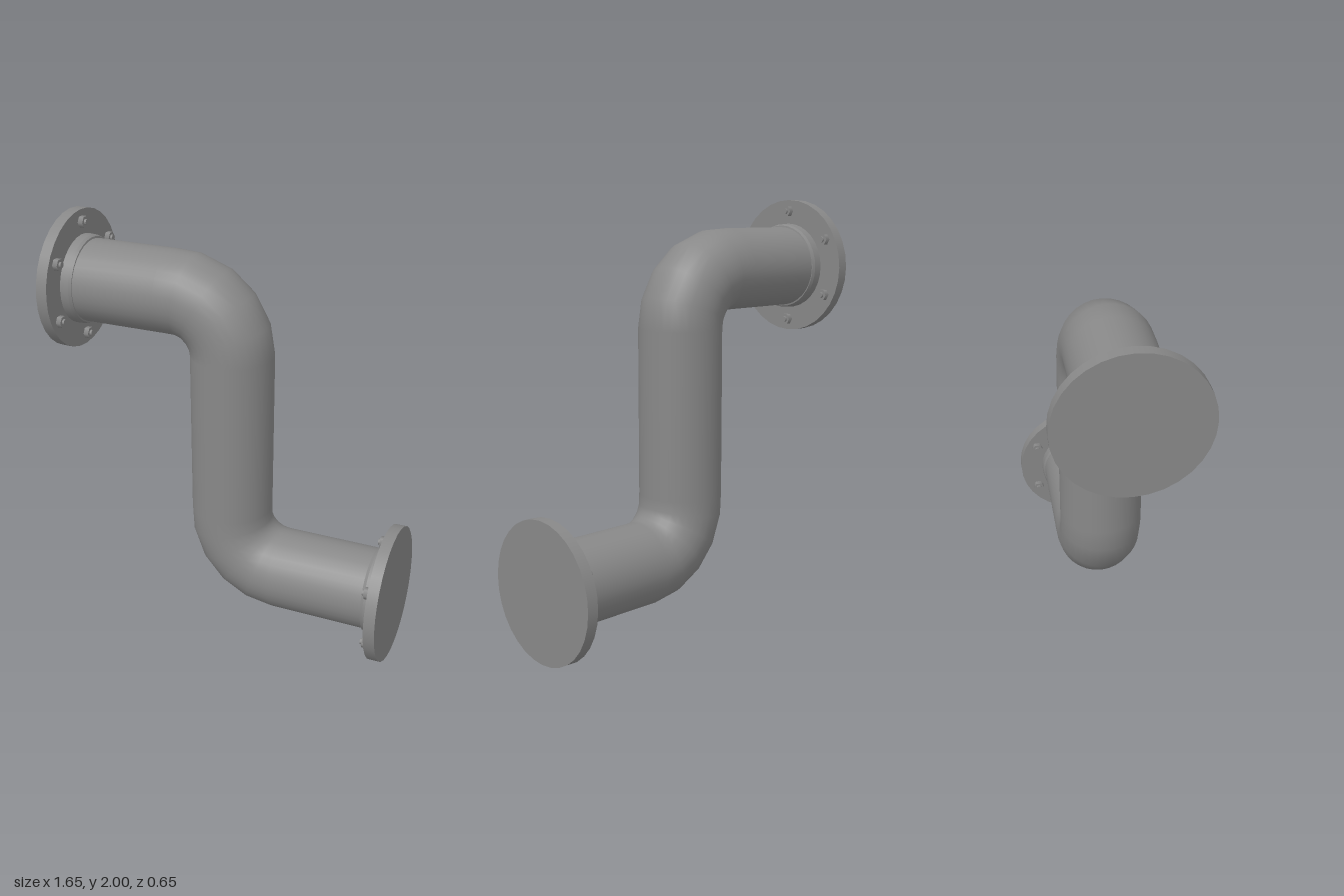
import * as THREE from 'three';

const material = new THREE.MeshStandardMaterial({ color: 0x888888 });
const PIPE_R = 0.193, PIPE_RZ = 0.198, BEND_R = 0.26;
const TOP_Y = 1.673, LOW_Y = 0.33, RISER_X = -0.009;

function addMesh(parent, name, geometry, y = 0) {
  const mesh = new THREE.Mesh(geometry, material);
  mesh.name = name;
  mesh.position.y = y;
  parent.add(mesh);
}

// Pipe stations: [x, y, heading], heading 0 = along +x, -PI/2 = straight down
function pipeStations() {
  const bend = [10, 31, 51, 71, 90].map(THREE.MathUtils.degToRad);
  const upper = bend.map(a => [
    RISER_X - BEND_R + BEND_R * Math.sin(a), TOP_Y - BEND_R + BEND_R * Math.cos(a), -a]);
  const lower = bend.map(a => [
    RISER_X + BEND_R - BEND_R * Math.cos(a), LOW_Y + BEND_R - BEND_R * Math.sin(a), a - Math.PI / 2]);
  return [
    [-0.79, TOP_Y, 0], [-0.31, TOP_Y, 0], ...upper,
    [RISER_X, 0.63, -Math.PI / 2], ...lower, [0.79, LOW_Y, 0]];
}

// Round cross-sections swept along the stations
function pipeGeometry(sides = 32) {
  const positions = [], normals = [], index = [];
  pipeStations().forEach(([x, y, heading], i, all) => {
    for (let j = 0; j < sides; j++) {
      const a = j / sides * Math.PI * 2;
      const nx = -Math.sin(heading) * Math.cos(a), ny = Math.cos(heading) * Math.cos(a), nz = Math.sin(a);
      positions.push(x + PIPE_R * nx, y + PIPE_R * ny, PIPE_RZ * nz);
      normals.push(nx, ny, nz);
      if (i === all.length - 1) continue;
      const p = i * sides + j, q = i * sides + (j + 1) % sides;
      index.push(p, q, p + sides, q, q + sides, p + sides);
    }
  });
  const geometry = new THREE.BufferGeometry();
  geometry.setAttribute('position', new THREE.Float32BufferAttribute(positions, 3));
  geometry.setAttribute('normal', new THREE.Float32BufferAttribute(normals, 3));
  geometry.setIndex(index);
  return geometry;
}

// Blind flange with collar and bolts, local +y pointing towards the pipe
function makeFlange(name) {
  const flange = new THREE.Group();
  flange.name = name;
  addMesh(flange, 'flangeDisc', new THREE.CylinderGeometry(0.325, 0.325, 0.053, 32), 0.0265);

  // Slightly tapered collar with a chamfered lip, one band per profile step
  const profile = [[0.209, 0.05], [0.207, 0.092], [0.201, 0.106], [0.188, 0.109]];
  for (let i = 0; i < profile.length - 1; i++) {
    const points = profile.slice(i, i + 2).map(p => new THREE.Vector2(...p));
    addMesh(flange, 'collar', new THREE.LatheGeometry(points, 32));
  }

  // Six bolts: hex nut and protruding stud
  for (let i = 0; i < 6; i++) {
    const a = i * Math.PI / 3;
    const bolt = new THREE.Group();
    bolt.name = 'bolt';
    bolt.position.set(0.27 * Math.cos(a), 0.053, 0.27 * Math.sin(a));
    addMesh(bolt, 'nut', new THREE.CylinderGeometry(0.028, 0.028, 0.024, 6), 0.012);
    addMesh(bolt, 'stud', new THREE.CylinderGeometry(0.014, 0.014, 0.034, 12), 0.017);
    flange.add(bolt);
  }
  return flange;
}

export function createModel() {
  const model = new THREE.Group();
  model.name = 'flangedPipe';
  addMesh(model, 'pipe', pipeGeometry());

  // Both flanges lean very slightly
  const tilt = Math.PI / 2 + 0.015;
  const upper = makeFlange('upperFlange');
  upper.position.set(-0.82, 1.675, 0);
  upper.rotation.z = -tilt;
  const lower = makeFlange('lowerFlange');
  lower.position.set(0.82, 0.327, 0);
  lower.rotation.z = tilt;
  model.add(upper, lower);
  return model;
}
